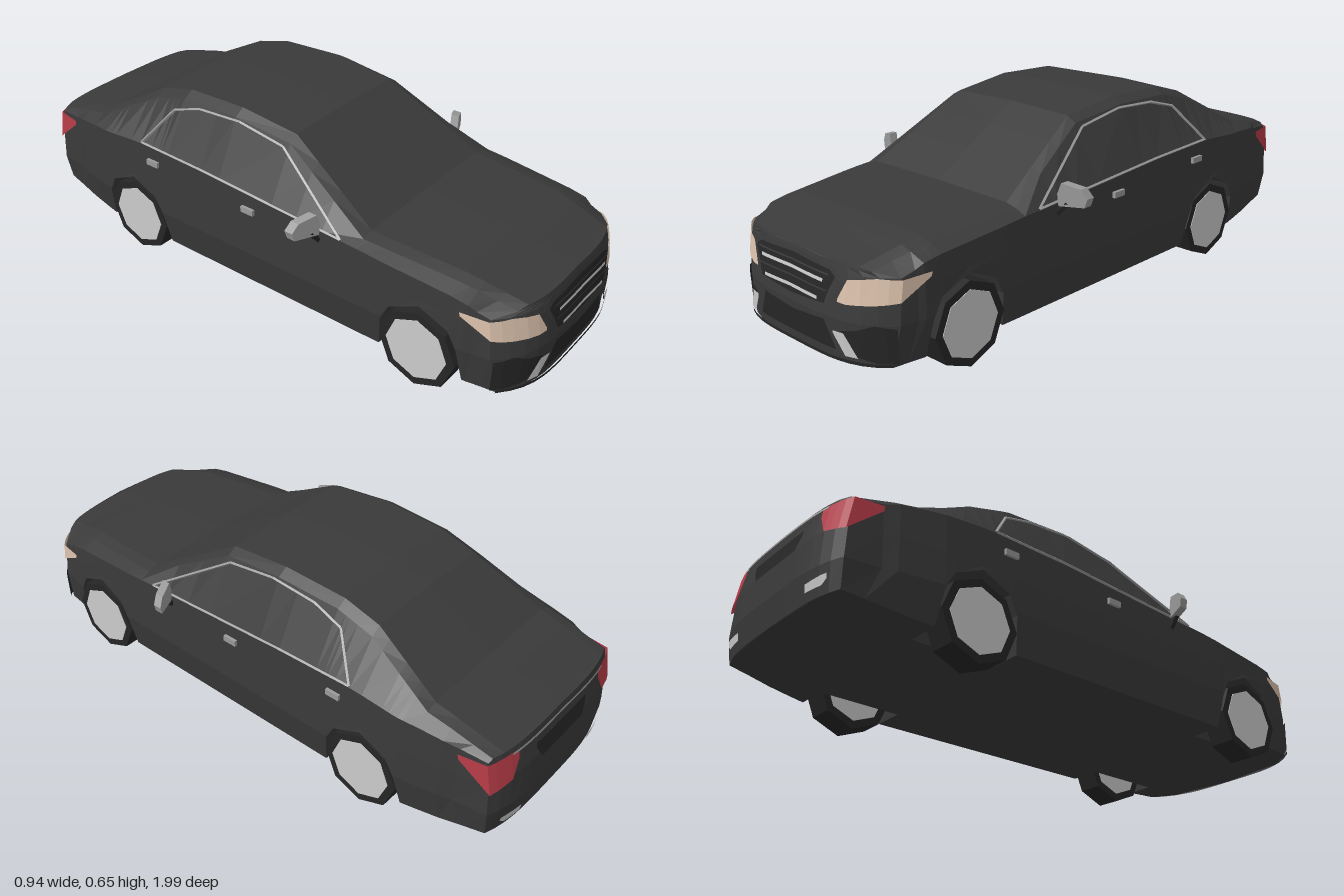
import * as THREE from 'three';

const mat = (color, side = THREE.DoubleSide) =>
  new THREE.MeshStandardMaterial({ color, flatShading: true, side });
const paint = mat(0x3a3a3a), dark = mat(0x262626), silver = mat(0xcccccc);
const trimGrey = mat(0x9a9a9a), lampGlass = mat(0xdcc2ac), red = mat(0xb83c48);

// piecewise linear lookup in [key, value] pairs, keys descending
const table = (...p) => (k) => {
  if (k >= p[0][0]) return p[0][1];
  for (let i = 1; i < p.length; i++) {
    if (k >= p[i][0]) {
      const t = (k - p[i][0]) / (p[i - 1][0] - p[i][0]);
      return p[i][1] + (p[i - 1][1] - p[i][1]) * t;
    }
  }
  return p[p.length - 1][1];
};

// body curves along z
const topY = table([0.98, 0.365], [0.75, 0.41], [0.43, 0.43], [0.1, 0.625], [-0.12, 0.65],
  [-0.35, 0.64], [-0.48, 0.605], [-0.72, 0.47], [-0.98, 0.41]);
const edgeY = table([0.98, 0.352], [0.75, 0.395], [0.43, 0.417], [0.1, 0.6], [-0.12, 0.622],
  [-0.35, 0.612], [-0.48, 0.575], [-0.72, 0.455], [-0.98, 0.405]);
const edgeX = table([0.98, 0.28], [0.75, 0.315], [0.43, 0.34], [0.1, 0.28], [-0.12, 0.285],
  [-0.35, 0.28], [-0.48, 0.28], [-0.72, 0.325], [-0.98, 0.315]);
const width = table([0.98, 0.35], [0.8, 0.367], [0.5, 0.382], [-0.65, 0.385], [-0.98, 0.335]);
const beltY = table([0.98, 0.336], [0.75, 0.375], [0.45, 0.4], [-0.2, 0.438], [-0.5, 0.442],
  [-0.72, 0.425], [-0.98, 0.395]);
const floorY = table([-0.68, 0.075], [-0.98, 0.11]);
const archY = table([0.145, 0.075], [0.13, 0.19], [0.1, 0.25], [0, 0.295]);
const axles = [0.655, -0.525];

// curved front and rear faces
const frontY = table([0.37, 0.962], [0.31, 0.975], [0.2, 0.988], [0.075, 0.982]);
const rearY = table([0.41, 0.967], [0.24, 0.997], [0.1, 0.978]);
const frontZ = (x, y) => frontY(y) - 6.5 * x ** 4 - Math.max(0, Math.abs(x) - 0.35) * 4;
const rearZ = (x, y) => -rearY(y) + 3 * x ** 4 + Math.max(0, Math.abs(x) - 0.335) * 6;

// half cross-section from floor centre to top centre
function section(z) {
  const f = floorY(z), w = width(z), xe = edgeX(z), ye = edgeY(z);
  const a = Math.max(f, ...axles.map((c) => archY(Math.abs(z - c))));
  const low = w * (0.94 + 0.06 * Math.min(1, (a - 0.075) / 0.125));
  return [[0, f], [0.25, f], [0.25, a], [low, a], [w, Math.max(a, 0.2)], [w * 0.995, 0.31],
    [w * 0.985, beltY(z)], [xe, ye], [xe * 0.88, ye + (topY(z) - ye) * 0.75], [0, topY(z)]]
    .map(([x, y]) => {
      let zz = z;
      if (z > 0.81) zz = 0.81 + (frontZ(x, y) - 0.81) * (z - 0.81) / 0.17;
      if (z < -0.8) zz = -0.8 + (rearZ(x, y) + 0.8) * (z + 0.8) / -0.18;
      return [x, y, zz];
    });
}

const stations = [0.98, 0.9, 0.81, 0.75, 0.45, 0.43, 0.3, 0.2, 0.1, -0.12, -0.2, -0.35, -0.48,
  -0.6, -0.72, -0.8, -0.9, -0.98];
for (const c of axles) for (const d of [0, 0.1, 0.13, 0.145]) stations.push(c + d, c - d);
const zs = [...new Set(stations.map((z) => +z.toFixed(3)))].sort((a, b) => b - a);

function surface(name, quads, material) {
  const pos = [];
  for (const [a, b, c, d] of quads) pos.push(...a, ...b, ...c, ...a, ...c, ...d);
  const g = new THREE.BufferGeometry();
  g.setAttribute('position', new THREE.Float32BufferAttribute(pos, 3));
  g.computeVertexNormals();
  const m = new THREE.Mesh(g, material);
  m.name = name;
  return m;
}
const flip = ([x, y, z]) => [-x, y, z];

// mirrored skin over a range of stations and section points
function skin(name, zFrom, zTo, i0, i1) {
  const rings = zs.filter((z) => z <= zFrom && z >= zTo).map(section), quads = [];
  for (let k = 0; k + 1 < rings.length; k++) {
    for (let i = i0; i < i1; i++) {
      const q = [rings[k][i], rings[k + 1][i], rings[k + 1][i + 1], rings[k][i + 1]];
      quads.push(q, q.map(flip).reverse());
    }
  }
  return surface(name, quads, paint);
}

// closing face at the nose or tail
function endFace(name, z, zAt) {
  const ring = section(z), quads = [], n = 16;
  const at = (i, j) => {
    const x = ring[i][0] * (2 * j / n - 1);
    return [x, ring[i][1], zAt(x, ring[i][1])];
  };
  for (let i = 3; i < 9; i++) {
    for (let j = 0; j < n; j++) {
      const q = [at(i, j), at(i, j + 1), at(i + 1, j + 1), at(i + 1, j)];
      quads.push(z > 0 ? q : q.reverse());
    }
  }
  return surface(name, quads, paint);
}

// panel lying on the nose (s=1) or tail (s=-1); columns are [x, yBottom, yTop]
function panel(name, s, cols, material, off = 0.006, mirror = true) {
  const zAt = s > 0 ? frontZ : rearZ, quads = [];
  const at = (x, y) => [x + (x > 0.3 ? 0.004 : 0), y, zAt(x, y) + s * off];
  for (let i = 0; i + 1 < cols.length; i++) {
    const [a, b] = [cols[i], cols[i + 1]];
    const n = Math.ceil((b[0] - a[0]) / 0.04);
    const mix = (t) => a.map((v, k) => v + (b[k] - v) * t);
    for (let j = 0; j < n; j++) {
      const p = mix(j / n), r = mix((j + 1) / n);
      const q = [at(p[0], p[1]), at(r[0], r[1]), at(r[0], r[2]), at(p[0], p[2])];
      if (s < 0) q.reverse();
      quads.push(q);
      if (mirror) quads.push(q.map(flip).reverse());
    }
  }
  return surface(name, quads, material);
}

function mesh(name, geometry, material, x = 0, y = 0, z = 0) {
  const m = new THREE.Mesh(geometry, material);
  m.name = name;
  m.position.set(x, y, z);
  return m;
}

// point on the side glass, between belt and roof edge
function onGlass(s, z, y, off) {
  const t = Math.max(0, (y - beltY(z)) / (edgeY(z) - beltY(z)));
  const x0 = width(z) * 0.985;
  return new THREE.Vector3(s * (x0 + (edgeX(z) - x0) * t + off), y, z);
}
const windowLine = [[0.37, 0.407], [0.08, 0.587], [-0.1, 0.613], [-0.27, 0.602], [-0.38, 0.57],
  [-0.475, 0.446], [-0.2, 0.44]];

export function createModel() {
  const car = new THREE.Group();
  car.name = 'saloonCar';

  // body shell
  car.add(
    skin('lowerBody', 0.98, -0.98, 0, 7),
    skin('hood', 0.98, 0.43, 7, 9),
    skin('windshield', 0.43, 0.1, 7, 9),
    skin('roof', 0.1, -0.48, 7, 9),
    skin('rearWindow', -0.48, -0.72, 7, 9),
    skin('trunkLid', -0.72, -0.98, 7, 9),
    endFace('noseFace', 0.98, frontZ),
    endFace('tailFace', -0.98, rearZ),
  );

  // nose details
  car.add(
    panel('grilleSurround', 1, [[0, 0.222, 0.36], [0.155, 0.234, 0.352], [0.175, 0.28, 0.35], [0.2, 0.325, 0.332]], paint, 0.01),
    panel('grilleOpening', 1, [[0, 0.232, 0.35], [0.148, 0.242, 0.342], [0.165, 0.285, 0.34], [0.185, 0.322, 0.326]], dark, 0.013),
    panel('lowerIntake', 1, [[0, 0.108, 0.18], [0.14, 0.108, 0.192], [0.178, 0.108, 0.112]], dark, 0.006),
    panel('sideIntakes', 1, [[0.2, 0.16, 0.17], [0.25, 0.1, 0.182], [0.3, 0.088, 0.203], [0.345, 0.09, 0.195]], dark, 0.005),
    panel('intakeBlades', 1, [[0.18, 0.162, 0.17], [0.217, 0.1, 0.17], [0.255, 0.1, 0.102]], silver, 0.012),
    panel('headlights', 1, [[0.19, 0.254, 0.262], [0.22, 0.252, 0.322], [0.3, 0.26, 0.336], [0.35, 0.27, 0.334], [0.367, 0.325, 0.338]], lampGlass, 0.006),
    panel('frontLip', 1, [[0, 0.078, 0.088], [0.3, 0.078, 0.088], [0.335, 0.08, 0.09]], dark, 0.01),
  );
  for (const [y, w, thick, m] of [[0.31, 0.145, 0.01, silver], [0.255, 0.125, 0.01, silver],
    [0.284, 0.16, 0.005, paint], [0.33, 0.165, 0.005, paint]]) {
    car.add(panel('grilleBar', 1, [[0, y - thick / 2 + 0.002, y + thick / 2 + 0.002], [w, y - thick / 2 - 0.002, y + thick / 2 - 0.002]], m, 0.018));
  }

  // tail details
  car.add(
    panel('tailLights', -1, [[0.225, 0.365, 0.395], [0.255, 0.305, 0.396], [0.335, 0.288, 0.394], [0.349, 0.375, 0.392]], red),
    panel('trunkStrip', -1, [[0, 0.392, 0.4], [0.25, 0.388, 0.396]], trimGrey, 0.007),
    panel('plateRecess', -1, [[0, 0.3, 0.36], [0.115, 0.3, 0.36], [0.14, 0.345, 0.36]], dark, 0.004),
    panel('exhaustTips', -1, [[0.195, 0.135, 0.16], [0.265, 0.135, 0.165], [0.285, 0.15, 0.165]], silver, 0.007),
  );

  for (const s of [1, -1]) {
    const side = s > 0 ? 'left' : 'right';

    // side window trim
    const pts = windowLine.map(([z, y]) => onGlass(s, z, y, 0.002));
    pts.forEach((p, i) => {
      const line = new THREE.LineCurve3(p, pts[(i + 1) % pts.length]);
      car.add(mesh(side + 'WindowTrim', new THREE.TubeGeometry(line, 1, 0.005, 4), trimGrey));
    });

    // door handles
    for (const [z, y] of [[0.005, 0.368], [-0.42, 0.387]]) {
      car.add(mesh(side + 'DoorHandle', new THREE.BoxGeometry(0.016, 0.02, 0.05), trimGrey, s * 0.382, y, z));
    }

    // door mirror with swept-back housing
    const outline = [[0.388, 0.402], [0.462, 0.404], [0.47, 0.432], [0.45, 0.461], [0.395, 0.475], [0.384, 0.44]];
    if (s < 0) outline.reverse();
    const shape = new THREE.Shape(outline.map(([x, y]) => new THREE.Vector2(s * x, y)));
    const housing = new THREE.ExtrudeGeometry(shape, { depth: 0.03, bevelEnabled: false });
    const p = housing.attributes.position;
    for (let i = 0; i < p.count; i++) {
      p.setZ(i, p.getZ(i) + 0.27 - (Math.abs(p.getX(i)) - 0.385) * 0.45);
    }
    car.add(mesh(side + 'Mirror', housing, trimGrey));
    const stalk = new THREE.LineCurve3(new THREE.Vector3(s * 0.372, 0.372, 0.285), new THREE.Vector3(s * 0.41, 0.415, 0.28));
    car.add(mesh(side + 'MirrorStalk', new THREE.TubeGeometry(stalk, 1, 0.011, 5), dark));

    // wheels
    for (const z of axles) {
      const wheel = new THREE.Group();
      wheel.name = side + (z > 0 ? 'FrontWheel' : 'RearWheel');
      wheel.position.set(s * 0.33, 0.135, z);
      const disc = (r, w) => new THREE.CylinderGeometry(r, r, w, 8).rotateZ(Math.PI / 2);
      wheel.add(mesh('tyre', disc(0.135, 0.09), dark));
      wheel.add(mesh('hub', disc(0.108, 0.094), silver));
      car.add(wheel);
    }
  }
  return car;
}
